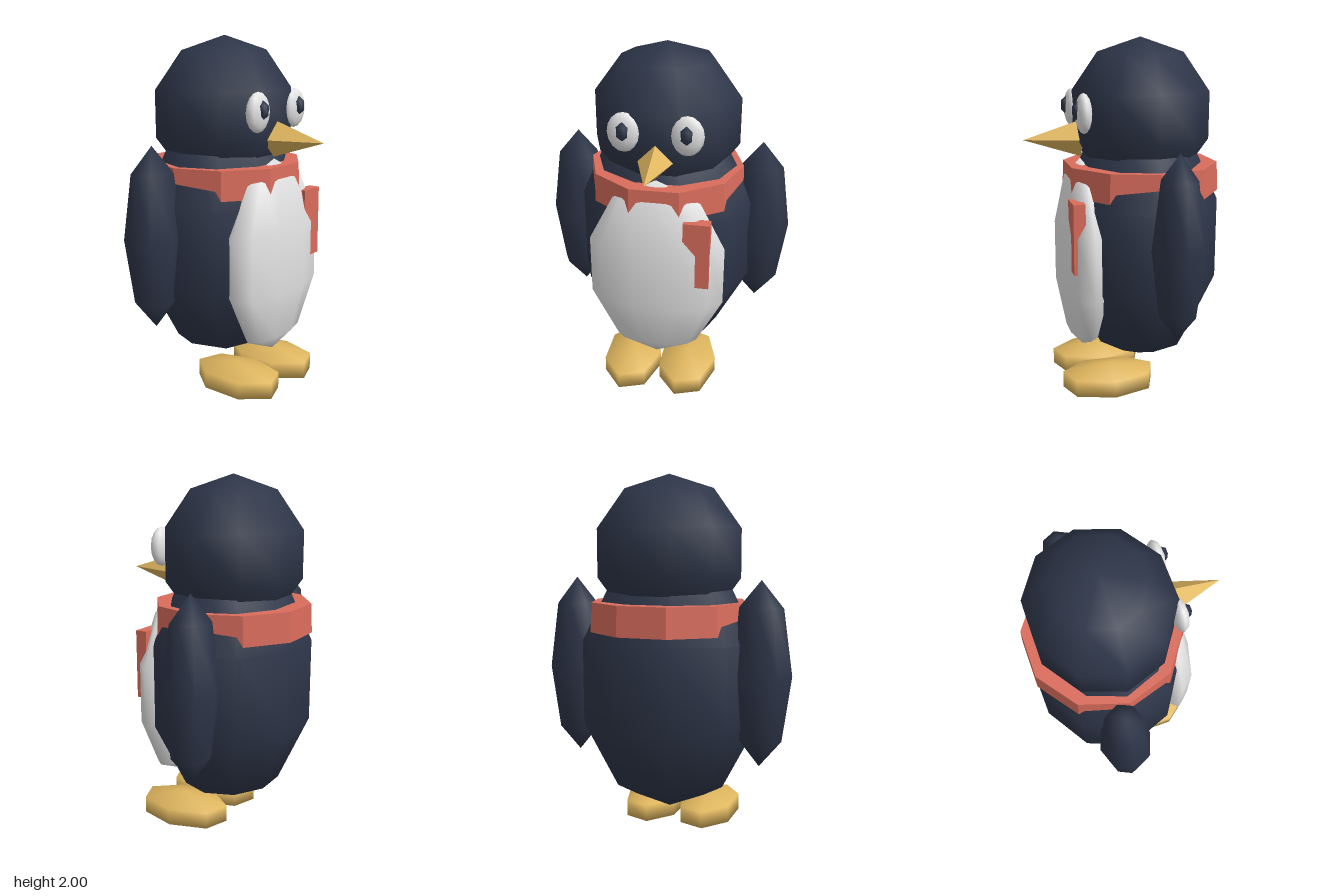
import * as THREE from 'three';

const material = (name, color, flatShading = false) => {
  const m = new THREE.MeshStandardMaterial({ color, flatShading });
  m.name = name;
  return m;
};

export function createModel() {
  const group = new THREE.Group();
  const navy = material('navy', 0x2d3548);
  const white = material('white', 0xe4e4e4);
  const gold = material('gold', 0xdfb65f);
  const red = material('coral red', 0xd96c5c);

  const add = (name, geometry, mat, x, y, z) => {
    const mesh = new THREE.Mesh(geometry, mat);
    mesh.name = name;
    mesh.position.set(x, y, z);
    group.add(mesh);
    return mesh;
  };

  // Low-sided ellipsoid with smooth normals
  const blob = (name, mat, [x, y, z], [rx, ry, rz], around, rings) =>
    add(name, new THREE.SphereGeometry(1, around, rings).rotateY(Math.PI).scale(rx, ry, rz), mat, x, y, z);

  // Torso, head and pale belly
  blob('body', navy, [0, 0.885, -0.12], [0.527, 0.735, 0.453], 10, 5);
  blob('head', navy, [0, 1.58, -0.12], [0.425, 0.42, 0.398], 10, 5);
  blob('belly', white, [0, 0.8, 0.22], [0.394, 0.55, 0.144], 10, 5);

  // Paired parts
  for (const side of [1, -1]) {
    const label = side > 0 ? 'left' : 'right';
    blob(label + 'Wing', navy, [0.53 * side, 0.948, -0.18], [0.17, 0.497, 0.145], 8, 4);
    blob(label + 'Foot', gold, [0.165 * side, 0.097, 0.1], [0.194, 0.093, 0.308], 7, 3);
    blob(label + 'Eye', white, [0.165 * side, 1.612, 0.232], [0.088, 0.107, 0.043], 10, 8);
    blob(label + 'Pupil', navy, [0.165 * side, 1.625, 0.265], [0.038, 0.052, 0.032], 6, 3);
  }

  // Four-sided beak pointing forward
  const beak = new THREE.ConeGeometry(0.1, 0.315, 4).rotateX(Math.PI / 2).toNonIndexed();
  beak.computeVertexNormals();
  add('beak', beak, gold, 0, 1.46, 0.375);

  // Scarf band around the neck, with vertices on the x axis
  const band = new THREE.CylinderGeometry(0.432, 0.44, 0.16, 10).rotateY(Math.PI / 2).toNonIndexed();
  band.computeVertexNormals();
  add('scarfBand', band, red, 0, 1.24, -0.12);

  // Hanging end of the scarf
  add('scarfEnd', new THREE.BoxGeometry(0.145, 0.385, 0.065), red, 0.231, 0.965, 0.288);

  return group;
}
